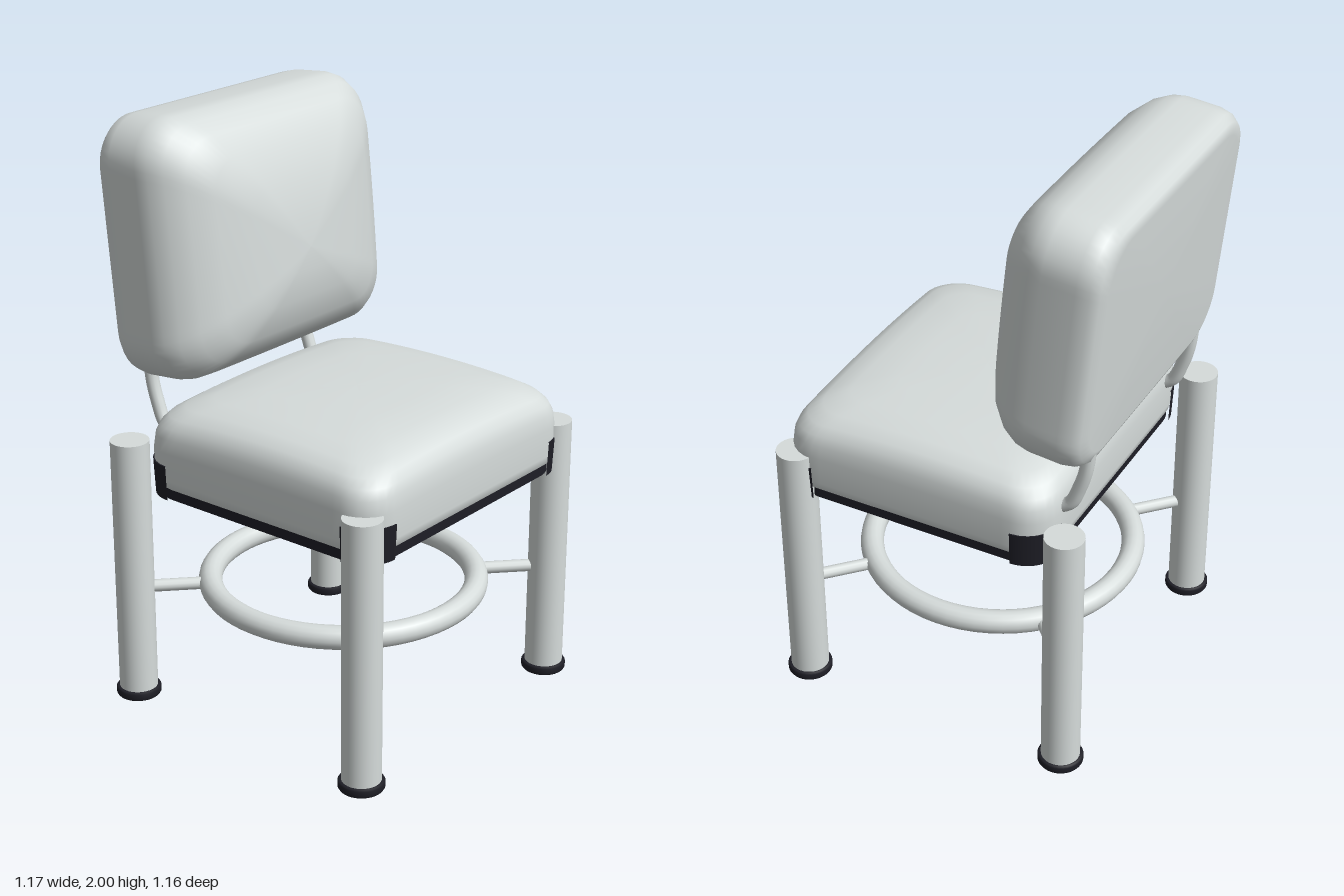
import * as THREE from 'three';

const pale = new THREE.MeshStandardMaterial({ color: 0xd6dcdb });
pale.name = 'pale grey';
const dark = new THREE.MeshStandardMaterial({ color: 0x1e1e26 });
dark.name = 'near black';

const MID_Z = 0.025; // centre of the leg square
const SEAT_Z = 0.08, SEAT_W = 0.53, SEAT_D = 0.48, CORNER = 0.12;

function roundedRect(hw, hh, r) {
  const s = new THREE.Shape();
  s.moveTo(hw, 0);
  s.lineTo(hw, hh - r).absarc(hw - r, hh - r, r, 0, Math.PI / 2);
  s.lineTo(-hw + r, hh).absarc(-hw + r, hh - r, r, Math.PI / 2, Math.PI);
  s.lineTo(-hw, -hh + r).absarc(-hw + r, -hh + r, r, Math.PI, Math.PI * 1.5);
  s.lineTo(hw - r, -hh).absarc(hw - r, -hh + r, r, Math.PI * 1.5, Math.PI * 2);
  s.lineTo(hw, 0);
  return s;
}

// Padded block: scaled rounded-rectangle rings stacked along z.
// profile rows are [scale, height]; sag lowers the front towards -y, droop sinks the corners.
function cushion(hw, hh, r, profile, sag, droop) {
  const n = 128;
  const outline = roundedRect(hw, hh, r).getSpacedPoints(n).slice(0, n);
  const top = profile[profile.length - 1][1], pos = [], index = [];
  profile.forEach(([s, h]) => {
    const t = Math.max(0, h / top);
    for (const p of outline) {
      const corner = Math.pow(Math.abs((p.x * p.y) / (hw * hh)) * s * s, 2);
      pos.push(p.x * s, p.y * s - sag * (1 - s) * t, h - droop * corner * t * t);
    }
  });
  for (let i = 0; i < profile.length - 1; i++) {
    for (let j = 0; j < n; j++) {
      const a = i * n + j, b = i * n + ((j + 1) % n);
      index.push(a, b, b + n, a, b + n, a + n);
    }
  }
  const g = new THREE.BufferGeometry();
  g.setAttribute('position', new THREE.Float32BufferAttribute(pos, 3));
  g.setIndex(index);
  g.computeVertexNormals();
  return g;
}

export function createModel() {
  const model = new THREE.Group();
  model.name = 'chair';
  const add = (name, geometry, material, x = 0, y = 0, z = 0) => {
    const m = new THREE.Mesh(geometry, material);
    m.name = name;
    m.position.set(x, y, z);
    model.add(m);
    return m;
  };

  // Seat cushion
  const seat = cushion(SEAT_W, SEAT_D, CORNER, [
    [0, 0], [0.96, 0], [0.985, 0.01], [1, 0.04], [1, 0.14], [0.99, 0.19], [0.965, 0.225],
    [0.92, 0.252], [0.84, 0.275], [0.7, 0.29], [0.45, 0.3], [0, 0.3],
  ], 0, 0.045);
  seat.rotateX(-Math.PI / 2);
  add('seatCushion', seat, pale, 0, 0.8, SEAT_Z);

  // Dark rim under the seat, with a panel set into it
  const rim = roundedRect(SEAT_W - 0.015, SEAT_D - 0.015, CORNER);
  rim.holes.push(roundedRect(0.42, 0.38, 0.03));
  const rimGeo = new THREE.ExtrudeGeometry(rim, { depth: 0.045, bevelEnabled: false, curveSegments: 10 });
  rimGeo.rotateX(-Math.PI / 2);
  add('seatRim', rimGeo, dark, 0, 0.77, SEAT_Z);
  add('seatUnderside', new THREE.BoxGeometry(0.85, 0.02, 0.77), pale, 0, 0.788, SEAT_Z);

  // Backrest, leaning backwards
  const back = cushion(0.526, 0.43, 0.15, [
    [0, 0], [0.88, 0], [0.95, 0.012], [0.985, 0.038], [1, 0.08], [1, 0.19], [0.985, 0.235],
    [0.94, 0.283], [0.85, 0.332], [0.7, 0.375], [0.45, 0.41], [0.2, 0.424], [0, 0.426],
  ], 0.06, 0.02);
  add('backrestCushion', back, pale, 0, 1.553, -0.54).rotation.x = -0.095;

  // Footrest ring
  const ring = new THREE.TorusGeometry(0.45, 0.04, 16, 64);
  ring.rotateX(Math.PI / 2);
  add('footrestRing', ring, pale, 0, 0.395, MID_Z);

  const footProfile = [[0.06, 0], [0.072, 0], [0.076, 0.006], [0.076, 0.024], [0.072, 0.03], [0.06, 0.03]]
    .map(([x, y]) => new THREE.Vector2(x, y));

  for (const sx of [1, -1]) {
    const side = sx > 0 ? 'left' : 'right';

    // Bent rods carrying the backrest
    const rod = new THREE.CatmullRomCurve3([
      [0.94, -0.385], [0.965, -0.42], [1.03, -0.448], [1.1, -0.468], [1.2, -0.48],
    ].map(([y, z]) => new THREE.Vector3(sx * 0.385, y, z)));
    add(side + 'BackrestRod', new THREE.TubeGeometry(rod, 24, 0.023, 12), pale);

    for (const sz of [1, -1]) {
      const name = side + (sz > 0 ? 'Front' : 'Back');
      const x = sx * 0.51, z = MID_Z + sz * 0.485;

      // Leg with its rubber foot band
      add(name + 'Leg', new THREE.CylinderGeometry(0.065, 0.065, 0.927, 32), pale, x, 0.4665, z);
      add(name + 'Foot', new THREE.LatheGeometry(footProfile, 32), dark, x, 0, z);

      // Strut from ring to leg
      const strut = new THREE.CylinderGeometry(0.021, 0.021, 0.24, 12);
      strut.rotateX(Math.PI / 2);
      const s = add(name + 'Strut', strut, pale, sx * 0.415, 0.395, MID_Z + sz * 0.4);
      s.rotation.y = Math.atan2(sx * 0.51, sz * 0.485);

      // Dark bracket wrapping the seat corner
      const start = sz > 0 ? (sx > 0 ? 0 : 1.5 * Math.PI) : (sx > 0 ? 0.5 * Math.PI : Math.PI);
      add(name + 'Bracket',
        new THREE.CylinderGeometry(0.124, 0.118, 0.12, 12, 1, false, start, Math.PI / 2), dark,
        sx * (SEAT_W - CORNER), 0.83, SEAT_Z + sz * (SEAT_D - CORNER));
    }
  }
  return model;
}
